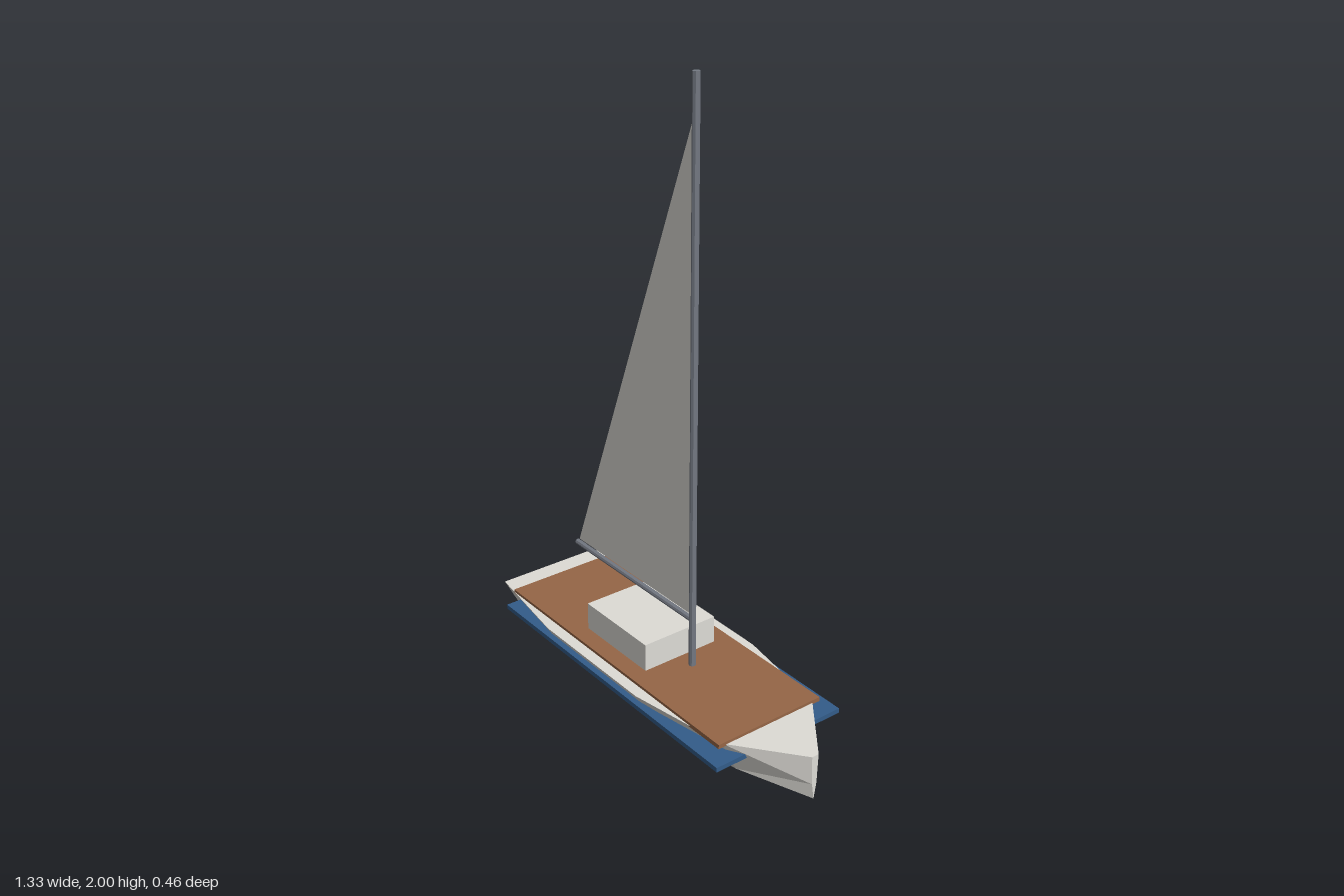
import * as THREE from 'three';

export function createModel() {
  const boat = new THREE.Group();
  boat.name = 'sailboat';

  const material = (name, color) => {
    const m = new THREE.MeshStandardMaterial({ color, flatShading: true });
    m.name = name;
    return m;
  };
  const white = material('hull white', 0xdedcd6);
  const brown = material('deck brown', 0x966646);
  const blue = material('strake blue', 0x335c8a);
  const grey = material('spar grey', 0x757a84);

  const add = (name, geometry, mat, x = 0, y = 0, z = 0) => {
    const mesh = new THREE.Mesh(geometry, mat);
    mesh.name = name;
    mesh.position.set(x, y, z);
    boat.add(mesh);
    return mesh;
  };
  const box = (name, mat, x0, x1, y0, y1, z0, z1) =>
    add(name, new THREE.BoxGeometry(x1 - x0, y1 - y0, z1 - z0), mat,
      (x0 + x1) / 2, (y0 + y1) / 2, (z0 + z1) / 2);

  // Hull: V-shaped sections with one chine, [x, half width, chine y, keel y]
  const stations = [
    [-0.663, 0.18, 0.093, 0.03],
    [-0.335, 0.226, 0.08, 0.006],
    [0.13, 0.226, 0.08, 0.0],
    [0.463, 0.17, 0.088, 0.02],
    [0.663, 0.012, 0.103, 0.05],
  ];
  const rail = 0.197;
  const rings = stations.map(([x, w, chine, keel]) => [
    [x, rail, w], [x, chine, w * 0.7], [x, keel, 0], [x, chine, -w * 0.7], [x, rail, -w],
  ]);
  const points = [];
  const tri = (a, b, c) => points.push(...a, ...b, ...c);
  for (let i = 0; i < rings.length - 1; i++) {
    for (let j = 0; j < 5; j++) {
      const k = (j + 1) % 5;
      tri(rings[i][j], rings[i][k], rings[i + 1][k]);
      tri(rings[i][j], rings[i + 1][k], rings[i + 1][j]);
    }
  }
  // Transom and stem caps
  const stern = rings[0], bow = rings[rings.length - 1];
  for (let j = 1; j < 4; j++) {
    tri(stern[0], stern[j + 1], stern[j]);
    tri(bow[0], bow[j], bow[j + 1]);
  }
  const hull = new THREE.BufferGeometry();
  hull.setAttribute('position', new THREE.Float32BufferAttribute(points, 3));
  hull.computeVertexNormals();
  add('hull', hull, white);

  // Deck, cabin and side strakes
  box('deck', brown, -0.588, 0.472, 0.192, 0.206, -0.19, 0.19);
  box('cabin', white, -0.247, 0.053, 0.2, 0.296, -0.132, 0.132);
  box('leftStrake', blue, -0.57, 0.514, 0.157, 0.172, 0.12, 0.231);
  box('rightStrake', blue, -0.57, 0.514, 0.157, 0.172, -0.231, -0.12);

  // Mast and boom
  add('mast', new THREE.CylinderGeometry(0.011, 0.011, 1.8, 8), grey, 0.112, 1.1, 0);
  const boom = add('boom', new THREE.CylinderGeometry(0.009, 0.009, 0.602, 8), grey, -0.191, 0.365, 0);
  boom.rotation.z = Math.PI / 2;

  // Triangular mainsail
  const outline = new THREE.Shape([
    new THREE.Vector2(-0.475, 0.383),
    new THREE.Vector2(0.108, 0.383),
    new THREE.Vector2(0.108, 1.885),
  ]);
  const depth = 0.006;
  add('sail', new THREE.ExtrudeGeometry(outline, { depth, bevelEnabled: false }), white, 0, 0, -depth / 2);

  return boat;
}
